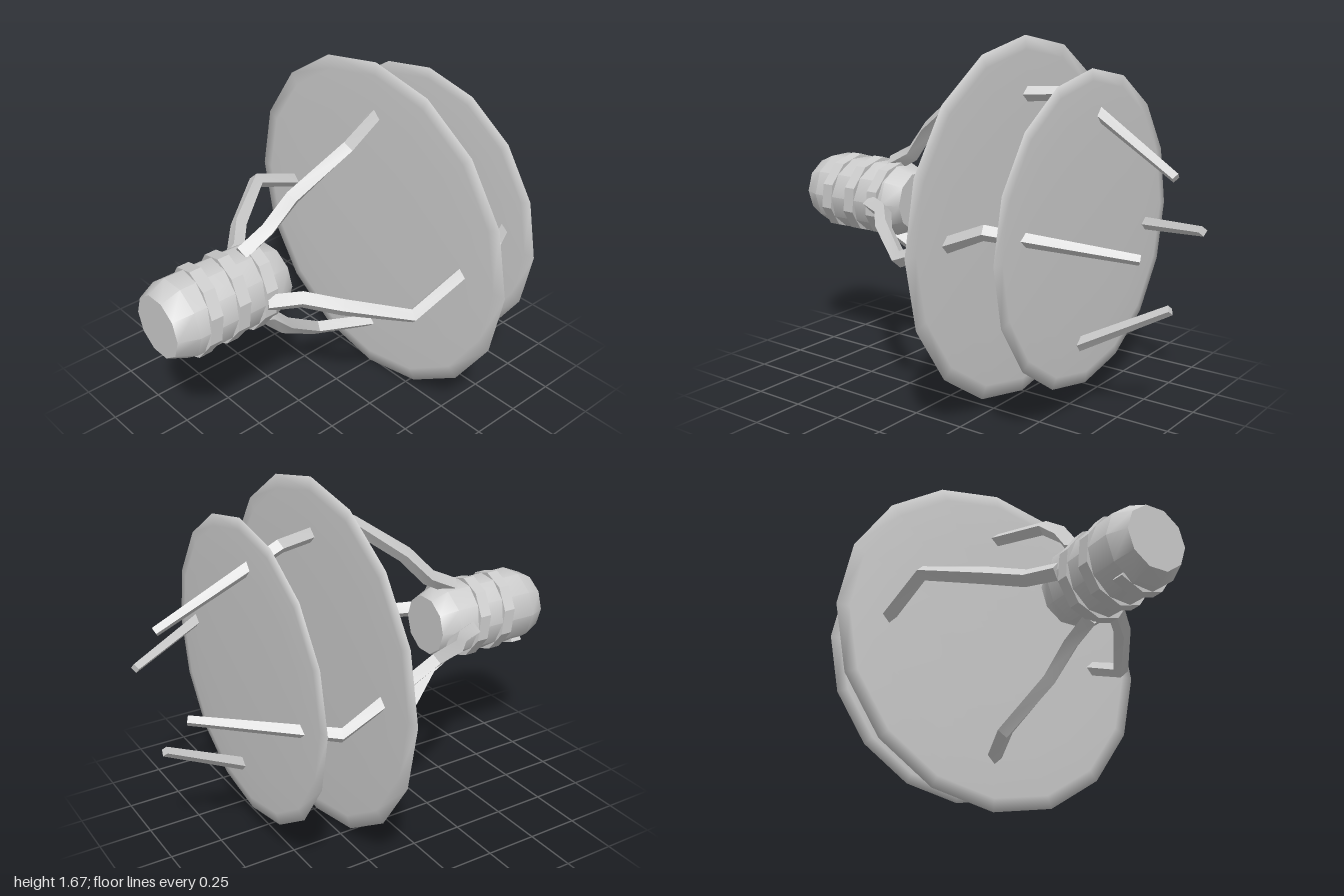
import * as THREE from 'three';
import { toCreasedNormals } from 'three/addons/utils/BufferGeometryUtils.js';

const CENTRE_Y = 0.84;

// Skin a list of equal-sized cross-sections (ordered right-handed about the path) and cap both ends.
function sweep(rings) {
  const n = rings[0].length;
  const index = [];
  for (let i = 0; i < rings.length - 1; i++) {
    for (let j = 0; j < n; j++) {
      const a = i * n + j, b = i * n + (j + 1) % n;
      index.push(a, b, b + n, a, b + n, a + n);
    }
  }
  const last = (rings.length - 1) * n;
  for (let j = 1; j < n - 1; j++) {
    index.push(0, j + 1, j, last, last + j, last + j + 1);
  }
  const geometry = new THREE.BufferGeometry().setFromPoints(rings.flat());
  geometry.setIndex(index);
  return toCreasedNormals(geometry, 0.6);
}

// Bent four-sided arm, tapering towards its tip.
function armGeometry() {
  const path = [
    [0, 0.17, 0.55], [0.01, 0.24, 0.41], [0.04, 0.37, 0.29], [0.11, 0.55, 0.04],
    [0, 0.575, -0.23], [-0.09, 0.585, -0.44], [0, 0.285, -0.99],
  ].map((p) => new THREE.Vector3(...p));
  const radii = [0.042, 0.041, 0.04, 0.037, 0.035, 0.034, 0.023];
  const rings = path.map((p, i) => {
    const before = path[Math.max(i - 1, 0)], after = path[Math.min(i + 1, path.length - 1)];
    const along = after.clone().sub(before).normalize();
    const out = new THREE.Vector3(0, 1, 0);
    out.addScaledVector(along, -out.dot(along)).normalize();
    const side = along.clone().cross(out);
    return [0, 1, 2, 3].map((k) => p.clone()
      .addScaledVector(out, radii[i] * Math.cos(k * Math.PI / 2))
      .addScaledVector(side, radii[i] * Math.sin(k * Math.PI / 2)));
  });
  return sweep(rings);
}

// Ten-sided spiral ridge, offset half a side so it surfaces between the corners of the handle.
function threadGeometry() {
  const rings = [];
  for (let i = 0; i <= 26; i++) {
    const angle = Math.PI / 2 - i * Math.PI / 5;
    const z = 0.5 + i * 0.0146;
    rings.push([[0.196, -0.03], [0.196, 0.03], [0.15, 0.03], [0.15, -0.03]].map(
      ([r, dz]) => new THREE.Vector3(r * Math.cos(angle), r * Math.sin(angle), z + dz)));
  }
  return sweep(rings);
}

export function createModel() {
  const grey = new THREE.MeshStandardMaterial({ color: 0xcccccc });
  grey.name = 'light grey';

  const model = new THREE.Group();
  model.name = 'model';
  const add = (geometry, name) => {
    const mesh = new THREE.Mesh(geometry, grey);
    mesh.name = name;
    mesh.position.y = CENTRE_Y;
    model.add(mesh);
    return mesh;
  };

  // Ten-sided handle with bevelled ends
  const profile = [[0, 0.39], [0.147, 0.39], [0.182, 0.48], [0.187, 0.91], [0.147, 1], [0, 1]]
    .map(([r, z]) => new THREE.Vector2(r, z));
  const handle = new THREE.LatheGeometry(profile, 10, Math.PI / 2).rotateX(Math.PI / 2);
  add(toCreasedNormals(handle, 0.7), 'handle');
  add(threadGeometry(), 'handleThread');

  // Four arms around the axis
  const arm = armGeometry();
  ['topArm', 'leftArm', 'bottomArm', 'rightArm'].forEach((name, i) => {
    add(arm, name).rotation.z = -i * Math.PI / 2;
  });

  // Two very thin lens-shaped discs
  [['frontDisc', 0.835, -0.235], ['rearDisc', 0.71, -0.58]].forEach(([name, radius, z]) => {
    const disc = new THREE.SphereGeometry(1, 16, 8).rotateX(Math.PI / 2).scale(radius, radius, 0.015);
    add(disc, name).position.z = z;
  });

  return model;
}
